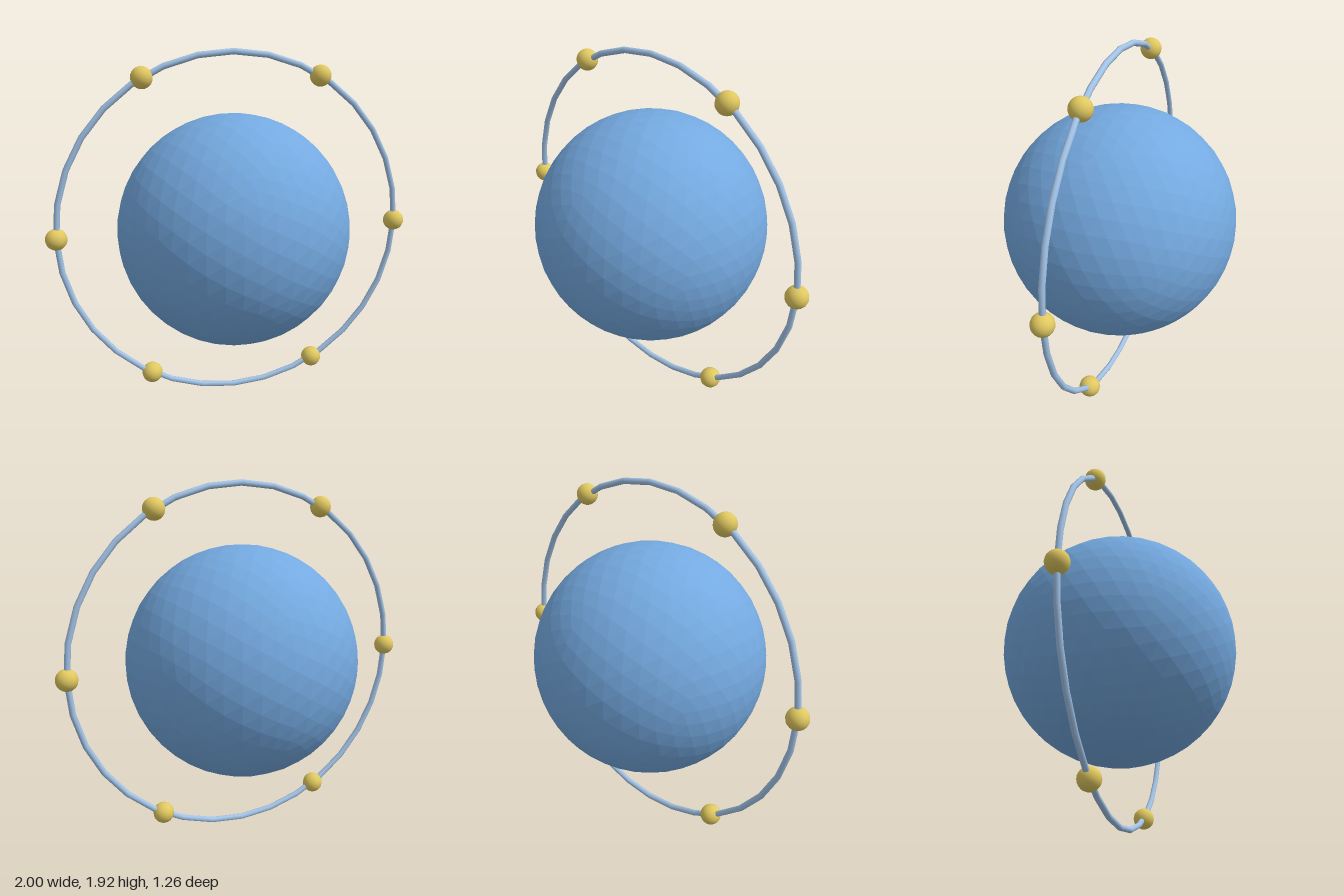
import * as THREE from 'three';

export function createModel() {
  const model = new THREE.Group();
  const centreY = 0.96, ringRadius = 0.943;

  const add = (name, geometry, color, flatShading = false) => {
    const material = new THREE.MeshStandardMaterial({ color, flatShading });
    const mesh = new THREE.Mesh(geometry, material);
    mesh.name = name;
    mesh.position.y = centreY;
    model.add(mesh);
    return mesh;
  };

  // Faceted central globe
  add('globe', new THREE.IcosahedronGeometry(0.629, 7), 0x74a9e0, true);

  // Thin upright ring around the globe
  add('ring', new THREE.TorusGeometry(ringRadius, 0.016, 8, 32), 0xa3c4e8);

  // Six beads spaced evenly on the ring
  const beadGeometry = new THREE.SphereGeometry(0.057, 16, 12);
  for (let i = 0; i < 6; i++) {
    const angle = (i * Math.PI) / 3;
    const bead = add(`bead${i + 1}`, beadGeometry, 0xe0c860);
    bead.position.x = ringRadius * Math.cos(angle);
    bead.position.y += ringRadius * Math.sin(angle);
  }

  return model;
}
